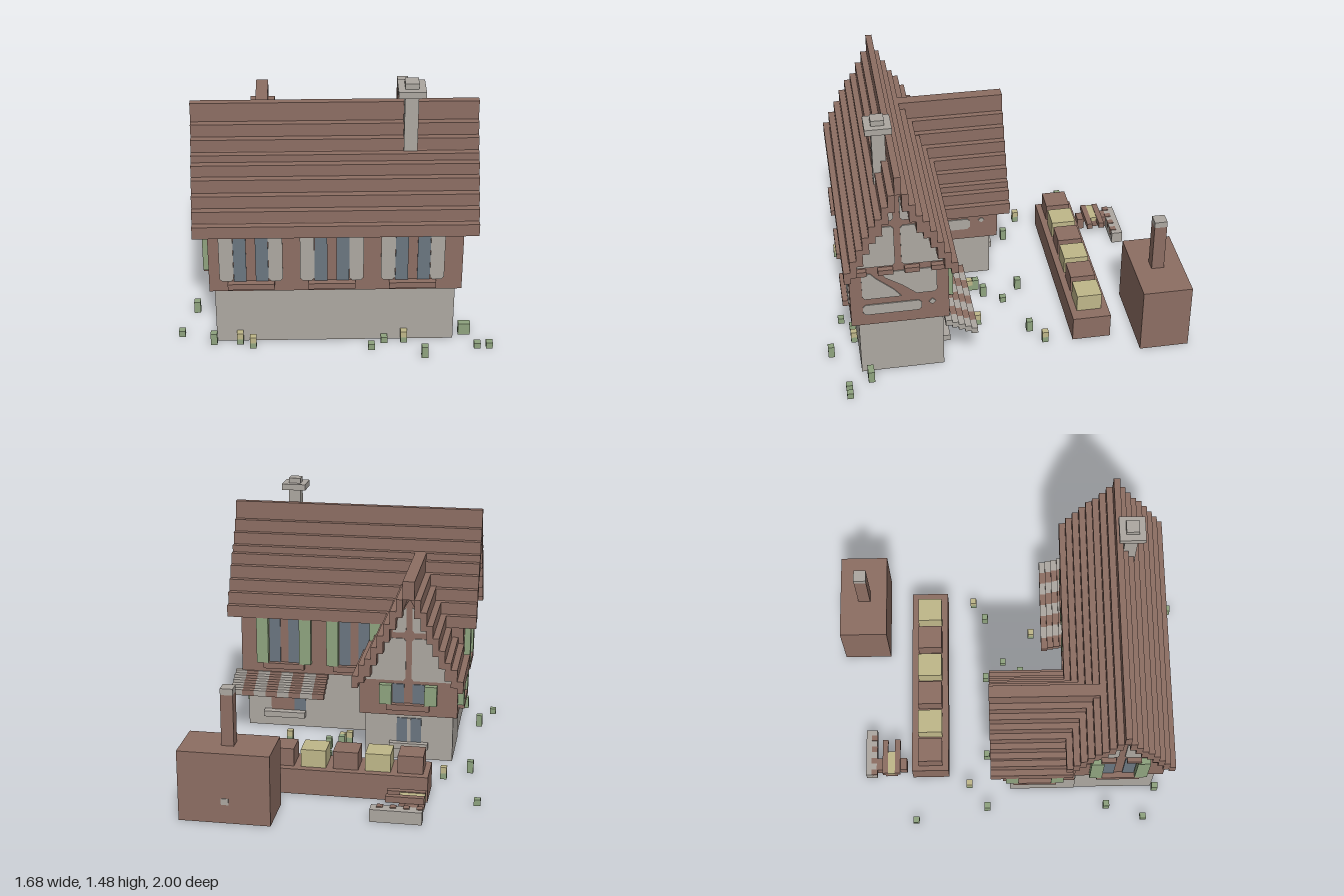
import * as THREE from 'three';

export function createModel() {
  const root = new THREE.Group();
  const mat = (name, color, side = THREE.FrontSide) =>
    Object.assign(new THREE.MeshStandardMaterial({ color, side }), { name });
  const brown = mat('timberBrown', 0x8d6e63);
  const stone = mat('stoneGrey', 0xada8a1, THREE.DoubleSide);
  const blue = mat('windowBlue', 0x6b7680);
  const green = mat('leafGreen', 0x8fa47f);
  const yellow = mat('strawYellow', 0xc0b88a);

  const add = (parent, name, geo, material) => {
    const m = new THREE.Mesh(geo, material);
    m.name = name;
    parent.add(m);
    return m;
  };
  // Box given by its minimum and maximum corners
  const box = (parent, name, material, x0, x1, y0, y1, z0, z1) => {
    const m = add(parent, name, new THREE.BoxGeometry(x1 - x0, y1 - y0, z1 - z0), material);
    m.position.set((x0 + x1) / 2, (y0 + y1) / 2, (z0 + z1) / 2);
    return m;
  };
  // Thin outlined plate lying on a wall
  const outline = (pts) => new THREE.Shape(pts.map((p) => new THREE.Vector2(...p)));
  const plate = (parent, name, material, pts) =>
    add(parent, name, new THREE.ExtrudeGeometry(outline(pts), { depth: 0.006, bevelEnabled: false }), material);
  // Plaster panel with clipped corners
  const panel = (parent, x0, x1, y0, y1, c = 0.015) => plate(parent, 'plasterPanel', stone, [
    [x0 + c, y0], [x1 - c, y0], [x1, y0 + c], [x1, y1 - c], [x1 - c, y1], [x0 + c, y1], [x0, y1 - c], [x0, y0 + c]]);
  // Wall frame whose local +z points out of the wall
  const wall = (name, x, z, rotation) => {
    const g = new THREE.Group();
    g.name = name;
    g.position.set(x, 0, z);
    g.rotation.y = rotation;
    root.add(g);
    return g;
  };
  const windowOn = (w, u, y0, y1, shutters) => {
    for (const s of [-1, 1]) {
      box(w, 'windowPane', blue, u + s * 0.057 - 0.033, u + s * 0.057 + 0.033, y0, y1, -0.001, 0.006);
      const c = u + s * 0.128;
      if (shutters) box(w, 'shutter', green, c - 0.035, c + 0.035, y0, y1, 0, 0.035);
      else panel(w, c - 0.037, c + 0.037, y0, y1);
    }
    box(w, 'windowSill', brown, u - 0.122, u + 0.122, y0 - 0.035, y0, 0, 0.035);
  };

  // Stone ground floor, open underneath
  const openBox = (name, x0, x1, y1, z0, z1) => {
    const g = box(root, name, stone, x0, x1, 0, y1, z0, z1).geometry;
    const index = Array.from(g.index.array);
    index.splice(18, 6);
    g.setIndex(index);
    g.clearGroups();
  };
  openBox('stoneBase', -0.635, 0.63, 0.36, 0.37, 0.825);
  openBox('wingStoneBase', -0.64, -0.14, 0.285, -0.01, 0.37);

  // Timber upper floors with gables
  const gableBody = (name, half, length) => {
    const g = new THREE.ExtrudeGeometry(outline(half.concat(half.map(([x, y]) => [-x, y]).reverse().slice(1))),
      { depth: length, bevelEnabled: false });
    return add(root, name, g, brown);
  };
  const main = gableBody('timberUpperFloor', [[0.263, 0.355], [0.263, 0.76], [0, 1.24]], 1.32);
  main.rotation.y = Math.PI / 2;
  main.position.set(-0.66, 0, 0.602);
  const wing = gableBody('wingUpperFloor', [[0.278, 0.28], [0.278, 0.51], [0.208, 0.61], [0, 0.97]], 0.41);
  wing.position.set(-0.388, 0, -0.05);

  // Stepped main roof
  const mainTops = [1.335, 1.23, 1.16, 1.09, 1.05, 0.985, 0.91, 0.84, 0.77];
  const S = 0.035, MC = 0.595, WC = -0.388;
  const mainEdge = (k) => 0.0175 + k * S;
  mainTops.forEach((top, k) => {
    const low = Math.max(0.7, top - 0.105);
    if (k === 0) return box(root, 'roofRidge', brown, -0.735, 0.735, low, top, MC - 0.0175, MC + 0.0175);
    for (const s of [-1, 1]) {
      const z = MC + s * (mainEdge(k) - S / 2);
      box(root, 'roofStep', brown, -0.735, 0.735, low, top, z - S / 2, z + S / 2);
    }
  });

  // Stepped wing roof, each step running back until it meets the main roof
  [1.09, 0.985, 0.915, 0.84, 0.77, 0.7, 0.63, 0.592, 0.525].forEach((top, k) => {
    const low = Math.max(0.455, top - 0.105);
    let hit = 8;
    while (hit > 0 && mainTops[hit] < top) hit--;
    const end = top < 0.7 ? 0.345 : MC - mainEdge(hit) + 0.01;
    if (k === 0) return box(root, 'wingRoofRidge', brown, WC - 0.033, WC + 0.033, low, top, -0.12, end);
    for (const s of [-1, 1]) {
      const x = WC + s * (0.033 + (k - 0.5) * S);
      box(root, 'wingRoofStep', brown, x - S / 2, x + S / 2, low, top, -0.12, end);
    }
  });

  // Chimney
  box(root, 'chimneyStack', stone, 0.35, 0.42, 1.09, 1.475, 0.62, 0.69);
  box(root, 'chimneyCap', stone, 0.315, 0.455, 1.41, 1.445, 0.585, 0.725);

  // Walls and their panels
  const front = wall('frontWall', 0, 0.865, 0);
  for (const u of [-0.44, -0.02, 0.4]) windowOn(front, u, 0.42, 0.7, false);
  const right = wall('leftGableWall', 0.66, 0.602, Math.PI / 2);
  const left = wall('rightGableWall', -0.66, 0.602, -Math.PI / 2);
  const back = wall('backWall', 0, 0.339, Math.PI);
  const wingBack = wall('wingBackWall', WC, -0.05, Math.PI);
  const wingRight = wall('wingLeftWall', WC + 0.278, 0.15, Math.PI / 2);
  const wingLeft = wall('wingRightWall', WC - 0.278, 0.13, -Math.PI / 2);

  const gablePanels = (w, dy) => {
    for (const s of [-1, 1]) {
      const half = (pts) => {
        const p = pts.map(([x, y]) => [s * x, y + dy]);
        plate(w, 'gablePanel', stone, s > 0 ? p : p.reverse());
      };
      half([[0.03, 0.74], [0.245, 0.74], [0.235, 0.79], [0.13, 0.98], [0.115, 0.99], [0.03, 0.99], [0.017, 0.975], [0.017, 0.755]]);
      half([[0.03, 1.025], [0.09, 1.025], [0.09, 1.05], [0.04, 1.15], [0.017, 1.17], [0.017, 1.04]]);
    }
  };
  gablePanels(right, 0);
  gablePanels(left, 0);
  gablePanels(wingBack, -0.25);
  for (const w of [right, left]) {
    for (let i = 0; i < 4; i++)
      box(w, 'beamEnd', brown, -0.25 + i * 0.14, -0.17 + i * 0.14, 0.7, 0.73, 0, 0.03);
  }
  // Braced wall below the gable
  plate(right, 'bracedPanel', stone, [[-0.185, 0.53], [0.01, 0.53], [-0.03, 0.58], [-0.12, 0.66], [-0.15, 0.695], [-0.185, 0.695], [-0.198, 0.68], [-0.198, 0.545]]);
  plate(right, 'bracedPanel', stone, [[0.09, 0.54], [0.185, 0.54], [0.2, 0.555], [0.2, 0.69], [0.185, 0.7], [-0.1, 0.7], [-0.07, 0.66], [0.02, 0.6]]);
  panel(right, -0.198, 0.115, 0.425, 0.49);
  panel(right, 0.155, 0.19, 0.455, 0.49);
  windowOn(left, 0, 0.42, 0.7, true);
  windowOn(back, -0.4, 0.42, 0.7, true);
  windowOn(back, 0.02, 0.42, 0.7, true);
  windowOn(wingBack, 0, 0.355, 0.47, true);
  windowOn(wingLeft, 0, 0.355, 0.46, true);
  panel(wingRight, -0.15, 0.04, 0.35, 0.42);
  panel(wingRight, 0.09, 0.125, 0.39, 0.42);

  // Ground-floor door and window at the back
  box(root, 'door', brown, 0.35, 0.49, 0.105, 0.32, 0.363, 0.372);
  box(root, 'doorWindow', blue, 0.28, 0.35, 0.105, 0.32, 0.363, 0.372);
  box(root, 'doorStep', stone, 0.28, 0.53, 0.07, 0.105, 0.32, 0.37);
  box(root, 'lowerWindow', blue, -0.46, -0.32, 0.105, 0.25, -0.016, -0.008);
  box(root, 'lowerWindowBar', stone, -0.4, -0.38, 0.105, 0.25, -0.019, -0.008);
  box(root, 'lowerSill', stone, -0.5, -0.28, 0.07, 0.105, -0.045, -0.01);

  // Striped awning
  for (let i = 0; i < 8; i++)
    for (let k = 0; k < 5; k++) {
      const x = 0.14 + i * 0.07, z = 0.365 - k * 0.035, y = 0.355 - k * 0.018;
      box(root, 'awningStripe', i % 2 ? stone : brown, x, x + 0.07, y - 0.035, y, z - 0.035, z);
    }

  // Oven with its flue
  box(root, 'oven', brown, 0.21, 0.7, 0, 0.39, -1, -0.725);
  box(root, 'ovenFlue', brown, 0.42, 0.487, 0.39, 0.67, -0.893, -0.823);
  box(root, 'flueCap', stone, 0.42, 0.487, 0.67, 0.705, -0.893, -0.823);
  box(root, 'ovenVent', stone, 0.43, 0.47, 0.105, 0.14, -1.004, -0.995);

  // Market counter with crates
  box(root, 'counter', brown, -0.56, 0.56, 0, 0.145, -0.585, -0.37);
  for (let i = 0; i < 6; i++) {
    const x = -0.53 + i * 0.176;
    box(root, i % 2 ? 'strawCrate' : 'woodCrate', i % 2 ? yellow : brown, x, x + 0.138, 0.145, 0.245, -0.545, -0.405);
  }

  // Handcart
  for (const s of [-1, 1]) {
    const z = -0.71 + s * 0.07, r = -0.71 + s * 0.036;
    box(root, 'cartWheel', brown, -0.53, -0.46, 0, 0.07, z - 0.02, z + 0.02);
    box(root, 'cartRail', brown, -0.56, -0.355, 0.07, 0.105, r - 0.016, r + 0.016);
  }
  box(root, 'cartBed', brown, -0.56, -0.425, 0.035, 0.075, -0.745, -0.675);
  box(root, 'cartLoad', yellow, -0.56, -0.425, 0.075, 0.1, -0.73, -0.69);

  // Stone trough with pegs
  box(root, 'trough', stone, -0.56, -0.285, 0, 0.07, -0.862, -0.797);
  for (let i = 0; i < 4; i++) {
    const x = -0.56 + i * 0.07;
    box(root, 'troughPeg', brown, x, x + 0.033, 0.04, 0.075, -0.83, -0.795);
  }

  // Plants: x, z, height in cells
  const H = 0.0175;
  const plants = [[-0.825, -0.565, 1], [-0.755, -0.145, 2], [-0.44, -0.145, 2], [0.05, -0.145, 2], [0.435, -0.145, 2],
    [0.155, -0.04, 1], [0.085, 0.065, 2], [0.015, 0.1, 2], [-0.755, 0.555, 2], [-0.825, 0.77, 1], [0.19, 0.905, 1],
    [0.755, 0.905, 1], [0.82, 0.905, 1], [0.47, 0.98, 2], [0.26, 0.845, 1], [0.68, 0.78, 2], [0.71, 0.78, 2], [-0.65, 0.845, 2]];
  for (const [x, z, n] of plants)
    box(root, 'plant', green, x - H, x + H, 0, n * 0.035, z - H, z + H);
  const flowers = [[-0.615, -0.25], [0.54, -0.215], [0.015, 0.137], [-0.02, 0.17], [0.33, 0.135],
    [-0.51, 0.845], [-0.44, 0.88], [0.365, 0.845]];
  for (const [x, z] of flowers) {
    box(root, 'flowerStem', green, x - H, x + H, 0, 0.035, z - H, z + H);
    box(root, 'flowerHead', yellow, x - H, x + H, 0.035, 0.07, z - H, z + H);
  }
  return root;
}
